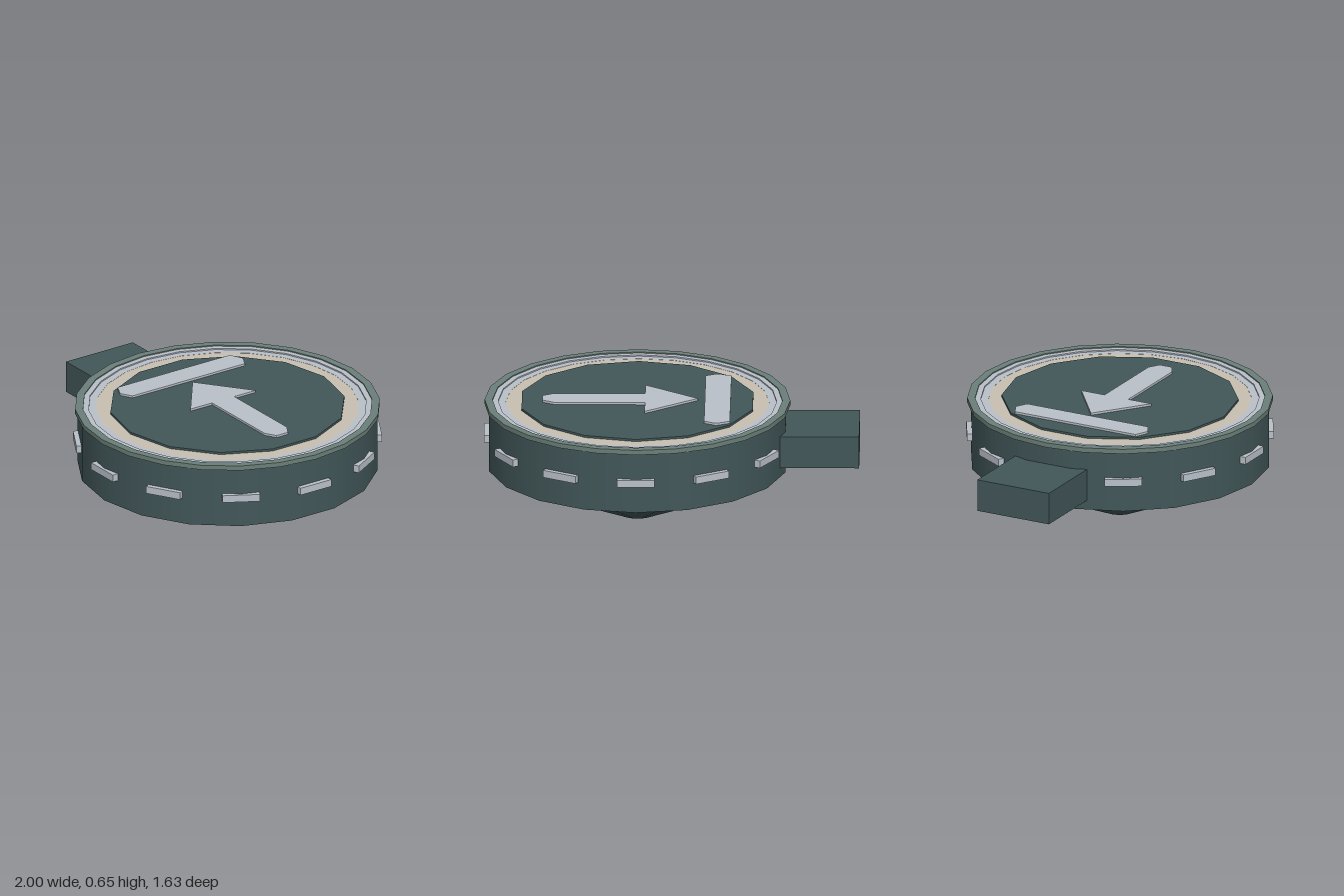
import * as THREE from 'three';
import { toCreasedNormals } from 'three/addons/utils/BufferGeometryUtils.js';

const mat = (name, color) => {
  const m = new THREE.MeshStandardMaterial({ color });
  m.name = name;
  return m;
};

export function createModel() {
  const model = new THREE.Group();
  model.name = 'arrowBeacon';
  const teal = mat('dark teal', 0x425759);
  const sage = mat('sage rim', 0x6b7f79);
  const grey = mat('pale grey', 0xbac1c9);
  const beige = mat('beige', 0xc8c1b1);

  const add = (name, geometry, material, parent = model) => {
    const mesh = new THREE.Mesh(geometry, material);
    mesh.name = name;
    parent.add(mesh);
    return mesh;
  };

  // Everything round shares one axis
  const round = new THREE.Group();
  round.name = 'roundBody';
  round.position.x = 0.18;
  model.add(round);

  const disc = (name, rTop, rBottom, y0, y1, sides, material) => {
    const mesh = add(name, new THREE.CylinderGeometry(rTop, rBottom, y1 - y0, sides), material, round);
    mesh.position.y = (y0 + y1) / 2;
    return mesh;
  };
  const ring = (name, profile, sides, material) => {
    const points = profile.map(([r, y]) => new THREE.Vector2(r, y));
    add(name, toCreasedNormals(new THREE.LatheGeometry(points, sides), 0.6), material, round);
  };

  // Drum and the blunt cone below it
  disc('drum', 0.8, 0.8, 0.285, 0.617, 18, teal);
  const cone = disc('lowerCone', 0.73, 0.083, 0, 0.287, 14, teal);
  cone.geometry = toCreasedNormals(cone.geometry, 0.1);
  cone.rotation.y = Math.PI / 2;

  // Rim and stepped rings of the top face
  ring('rim', [[0.77, 0.614], [0.812, 0.614], [0.812, 0.64], [0.77, 0.64], [0.77, 0.614]], 24, sage);
  ring('greyRing', [[0.77, 0.617], [0.77, 0.634], [0.74, 0.634], [0.74, 0.627], [0.7, 0.627], [0.7, 0.617]], 24, grey);
  disc('beigeRing', 0.702, 0.702, 0.615, 0.626, 24, beige);
  disc('topPanel', 0.63, 0.63, 0.62, 0.638, 14, teal);

  // Lamps around the drum; the one behind the arm is left out
  for (let i = 0; i < 12; i++) {
    if (i === 9) continue;
    const a = (i * Math.PI) / 6;
    const lamp = add('lamp', new THREE.BoxGeometry(0.2, 0.04, 0.04), grey, round);
    lamp.position.set(Math.sin(a) * 0.795, 0.452, Math.cos(a) * 0.795);
    lamp.rotation.y = a;
  }

  // Side arm
  add('arm', new THREE.BoxGeometry(0.45, 0.175, 0.434), teal).position.set(-0.775, 0.424, 0);

  // Raised arrow and bar: half outlines mirrored across z = 0
  const plate = (name, half) => {
    const outline = [...half, ...half.map(([x, z]) => [x, -z]).reverse()];
    const shape = new THREE.Shape(outline.map(([x, z]) => new THREE.Vector2(x, z)));
    const geometry = new THREE.ExtrudeGeometry(shape, { depth: 0.014, bevelEnabled: false });
    geometry.rotateX(-Math.PI / 2);
    add(name, geometry, grey).position.y = 0.636;
  };
  plate('arrow', [[-0.14, 0.001], [0.14, 0.212], [0.14, 0.072], [0.625, 0.072], [0.685, 0.037]]);
  plate('bar', [[-0.315, 0.365], [-0.25, 0.396], [-0.235, 0.396], [-0.178, 0.365]]);

  return model;
}
